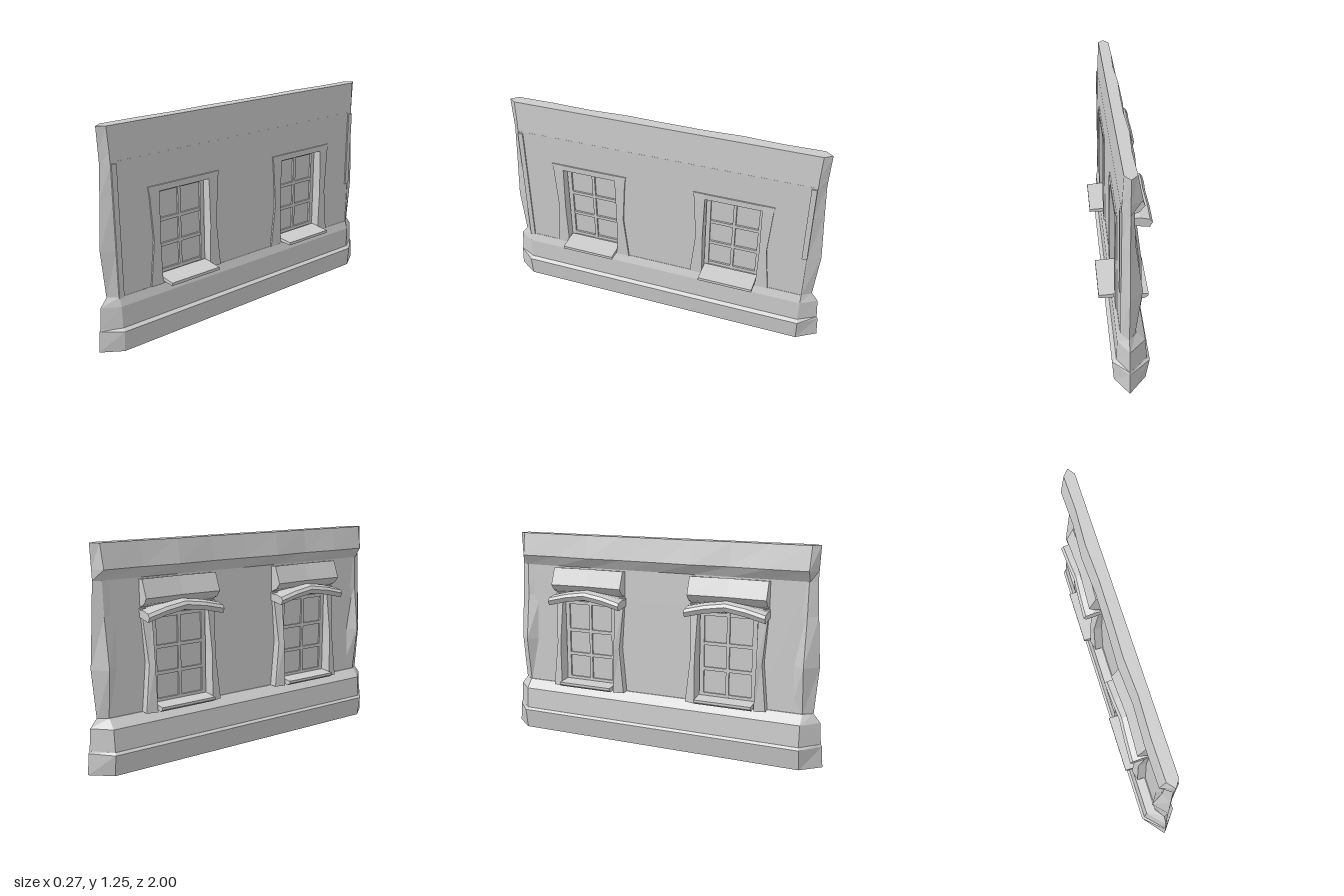
import * as THREE from 'three';

const mat = new THREE.MeshStandardMaterial({ color: 0xcccccc, flatShading: true, side: THREE.DoubleSide });

function add(parent, geo, name) {
  const m = new THREE.Mesh(geo, mat);
  m.name = name;
  parent.add(m);
  return m;
}

function box(parent, name, x0, x1, y0, y1, z0, z1) {
  const g = new THREE.BoxGeometry(x1 - x0, y1 - y0, z1 - z0);
  g.translate((x0 + x1) / 2, (y0 + y1) / 2, (z0 + z1) / 2);
  return add(parent, g, name);
}

// Skin a list of rings (equal point counts) and cap both ends
function loft(rings) {
  const pos = [];
  const tri = (a, b, c) => pos.push(...a, ...b, ...c);
  const n = rings[0].length;
  for (let k = 0; k < rings.length - 1; k++) {
    const r = rings[k], s = rings[k + 1];
    for (let i = 0; i < n; i++) {
      const j = (i + 1) % n;
      tri(r[i], r[j], s[j]);
      tri(r[i], s[j], s[i]);
    }
  }
  const lo = rings[0], hi = rings[rings.length - 1];
  for (let i = 1; i < n - 1; i++) {
    tri(lo[0], lo[i + 1], lo[i]);
    tri(hi[0], hi[i], hi[i + 1]);
  }
  const g = new THREE.BufferGeometry();
  g.setAttribute('position', new THREE.Float32BufferAttribute(pos, 3));
  g.computeVertexNormals();
  return g;
}

// Long plan outline with pointed ends; the -x side may waver a little
function planRing([y, xPlus, xMinus, zCorner, zTip], wobble = 0) {
  const ring = [[xPlus, y, zCorner], [xPlus, y, -zCorner], [0, y, -zTip]];
  const n = 8;
  for (let i = 0; i <= n; i++) {
    const w = i % n ? wobble * Math.sin(i * 2.3) : 0;
    ring.push([xMinus + w, y, -zCorner + 2 * zCorner * i / n]);
  }
  ring.push([0, y, zTip]);
  return ring;
}

// One window, centred on local z = 0
function createWindow() {
  const w = new THREE.Group();
  w.name = 'window';

  // Pinched side posts that run right through the wall
  const levels = [ // y, xPlus, xMinus, zInner, zOuter
    [0.31, 0.05, -0.1, 0.165, 0.24],
    [0.58, 0.051, -0.093, 0.17, 0.212],
    [0.84, 0.048, -0.06, 0.165, 0.228],
    [0.885, 0.046, -0.05, 0.165, 0.235],
  ];
  for (const s of [1, -1]) {
    const rings = levels.map(([y, p, m, a, b]) => {
      const r = [[p, y, s * b], [p, y, s * a], [m, y, s * (a + 0.012)], [m + 0.015, y, s * b]];
      return s > 0 ? r : r.reverse();
    });
    add(w, loft(rings), 'sidePost');
  }
  box(w, 'headRail', -0.05, 0.048, 0.85, 0.885, -0.17, 0.17);
  box(w, 'bottomRail', -0.06, 0.05, 0.31, 0.34, -0.17, 0.17);

  // Glazing with 2 x 3 panes
  box(w, 'glass', -0.028, -0.022, 0.34, 0.85, -0.17, 0.17);
  for (const z of [-0.156, 0, 0.156]) {
    const h = z ? 0.013 : 0.009;
    box(w, 'verticalBar', -0.038, -0.01, 0.34, 0.85, z - h, z + h);
  }
  for (const y of [0.355, 0.51, 0.66, 0.833]) {
    box(w, 'crossBar', -0.037, -0.011, y - 0.01, y + 0.01, -0.165, 0.165);
  }

  // Sills on both faces
  add(w, loft([-0.163, 0.163].map(z => [
    [0, 0.325, z], [0.135, 0.325, z], [0.135, 0.342, z], [0, 0.35, z],
  ])), 'innerSill');
  add(w, loft([-0.17, 0.17].map(z => [
    [-0.115, 0.315, z], [-0.02, 0.325, z], [-0.02, 0.348, z], [-0.138, 0.345, z], [-0.138, 0.33, z],
  ])), 'outerSill');

  // Peaked awning over the outside of the window
  add(w, loft([[-0.235, 0, 0], [-0.12, 0.028, 0.004], [0, 0.045, 0.012], [0.12, 0.028, 0.004], [0.235, 0, 0]]
    .map(([z, d, e]) => [
      [-0.125 + e, 0.822 + d, z], [-0.02, 0.835 + d * 0.6, z], [-0.02, 0.875 + d * 0.8, z],
      [-0.075, 0.878 + d, z], [-0.125 + e, 0.868 + d, z], [-0.139 + e, 0.85 + d, z],
    ])), 'awning');

  // Sloping hood moulding above the awning
  add(w, loft([[-0.23, 0.0], [0, 0.012], [0.23, 0.0]].map(([z, e]) => [
    [-0.015, 0.885, z], [-0.015, 1.04, z], [-0.058 + e, 1.045, z], [-0.1 + e, 0.945, z], [-0.072 + e, 0.91, z],
  ].reverse())), 'hood');
  return w;
}

export function createModel() {
  const model = new THREE.Group();
  model.name = 'wallSection';

  // Stepped plinth
  add(model, loft([
    [0, 0.075, -0.095, 0.885, 1],
    [0.122, 0.085, -0.115, 0.885, 0.992],
    [0.135, 0.06, -0.1, 0.88, 0.985],
  ].map(r => planRing(r))), 'plinthBase');
  add(model, loft([
    [0.13, 0.062, -0.1, 0.88, 0.985],
    [0.26, 0.058, -0.09, 0.88, 0.975],
    [0.31, 0.042, -0.04, 0.88, 0.935],
  ].map(r => planRing(r))), 'plinthTop');

  // Wall panel with two window openings
  const shape = new THREE.Shape();
  shape.moveTo(-0.88, 0.3).lineTo(0.88, 0.3).lineTo(0.88, 1.06).lineTo(-0.88, 1.06).closePath();
  for (const c of [-0.44, 0.44]) {
    const hole = new THREE.Path();
    hole.moveTo(c - 0.18, 0.325).lineTo(c - 0.18, 0.87).lineTo(c + 0.18, 0.87).lineTo(c + 0.18, 0.325).closePath();
    shape.holes.push(hole);
  }
  const wall = new THREE.ExtrudeGeometry(shape, { depth: 0.06, bevelEnabled: false });
  wall.rotateY(Math.PI / 2).translate(-0.02, 0, 0);
  const p = wall.attributes.position;
  for (let i = 0; i < p.count; i++) { // thicken outside towards the foot
    if (p.getX(i) < 0) p.setX(i, -0.02 - 0.02 * (1.06 - p.getY(i)));
  }
  wall.computeVertexNormals();
  add(model, wall, 'wallPanel');

  // Pointed, bulging wall ends
  const ends = [ // y, xPlus, xMinus, zTip
    [0.305, 0.042, -0.036, 0.935],
    [0.58, 0.041, -0.07, 0.956],
    [0.86, 0.04, -0.03, 0.937],
    [1.06, 0.04, -0.022, 0.925],
  ];
  for (const s of [1, -1]) {
    add(model, loft(ends.map(([y, a, b, t]) => {
      const r = [[a, y, s * 0.88], [-0.015, y, s * 0.8], [b, y, s * 0.88], [0, y, s * t]];
      return s > 0 ? r : r.reverse();
    })), 'wallEnd');
    // Thin upright strip beside each end
    box(model, 'edgeStrip', 0.03, 0.048, s > 0 ? 0.305 : 0.58, 1.05, s * 0.868 - 0.015, s * 0.868 + 0.015);
  }

  // Cornice band
  add(model, loft([
    planRing([1.05, 0.04, -0.022, 0.885, 0.925]),
    planRing([1.11, 0.037, -0.062, 0.885, 0.927], 0.008),
    planRing([1.245, 0.03, -0.035, 0.89, 0.932], 0.006),
  ]), 'cornice');

  // Windows
  for (const z of [-0.44, 0.44]) {
    const w = createWindow();
    w.position.z = z;
    model.add(w);
  }
  return model;
}
